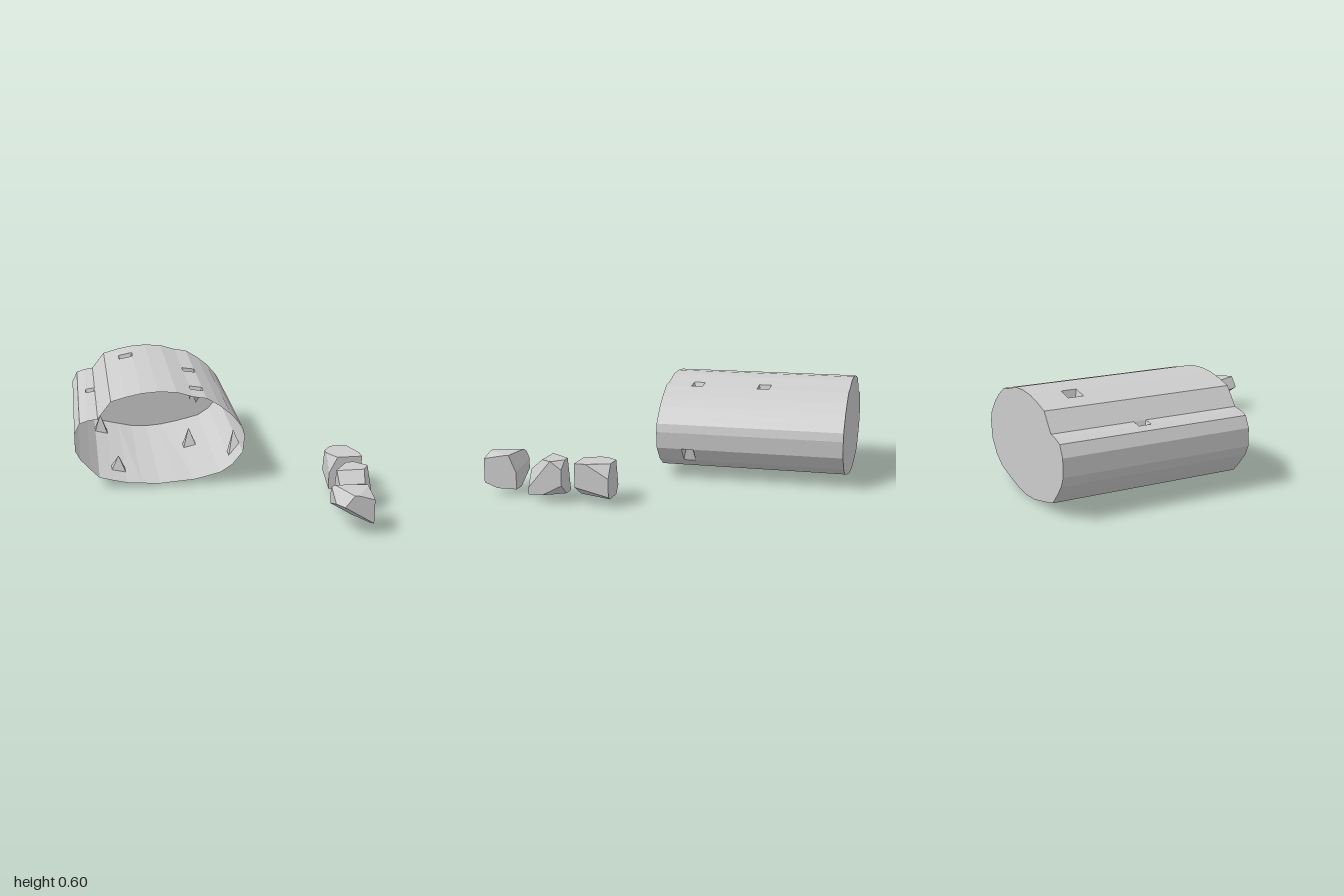
import * as THREE from 'three';
import { ConvexGeometry } from 'three/addons/geometries/ConvexGeometry.js';

const stone = new THREE.MeshStandardMaterial({ color: 0xcccccc, flatShading: true, side: THREE.DoubleSide });
stone.name = 'stone grey';

const FRONT = 0.13, BACK = -1;

// Cave cross-section, clockwise as seen from the front
const profile = [
  [-0.34, 0.6], [-0.23, 0.592], [-0.13, 0.56], [-0.05, 0.547], [0.03, 0.497], [0.097, 0.442],
  [0.147, 0.384], [0.175, 0.345], [0.185, 0.295], [0.174, 0.195], [0.11, 0.115], [0.034, 0.066],
  [-0.05, 0.045], [-0.13, 0.027], [-0.237, 0.008], [-0.34, 0], [-0.45, 0.008],
  [-0.54, 0.028], [-0.625, 0.048], [-0.707, 0.07], [-0.76, 0.125], [-0.82, 0.193], [-0.848, 0.25],
  [-0.848, 0.355], [-0.815, 0.42], [-0.765, 0.437], [-0.706, 0.446], [-0.625, 0.55],
  [-0.53, 0.576], [-0.44, 0.594],
];

// Hollow spikes: facet number, front and back of the base, tip x and y
const spikes = [
  { facet: 2, z0: -0.03, z1: -0.1, tip: [-0.093, 0.46] },
  { facet: 2, z0: -0.444, z1: -0.518, tip: [-0.083, 0.348] },
  { facet: 9, z0: -0.025, z1: -0.1, tip: [0.142, 0.275] },
  { facet: 12, z0: -0.44, z1: -0.515, tip: [-0.093, 0.153] },
  { facet: 17, z0: -0.05, z1: -0.125, tip: [-0.58, 0.126] },
  { facet: 18, z0: -0.735, z1: -0.81, tip: [-0.67, 0.172] },
  { facet: 25, z0: -0.444, z1: -0.518, tip: [-0.743, 0.348] },
  { facet: 28, z0: -0.73, z1: -0.82, tip: [-0.485, 0.425] },
];

// Rocks are cubes chipped by planes: normal x, y, z and distance, in half-cube units
const rocks = [
  {
    centre: [0.747, 0.137, 0.312],
    cuts: [[1, 0.6, -0.35, 1.48], [-1, 0.2, -0.75, 1.42], [-1, 0.5, 0.6, 1.6],
      [0.6, -1, 0.23, 1.21], [-1, -0.8, -0.3, 1.5]],
  },
  {
    centre: [0.738, 0.137, 0.592],
    cuts: [[-1, 0.2, -0.75, 1.05], [0.8, -1, -0.525, 1.7], [0, 1, 0.85, 1.23],
      [0.7, 1, -0.7, 1.95], [1, 0.5, 0.6, 1.3]],
  },
  {
    centre: [0.658, 0.137, 0.9],
    cuts: [[-0.62, -1, 0.375, 0.455], [-1, 0.8, 0.4, 1.35], [0.1, 0.45, -1, 1.1], [0.3, 1, 0.2, 1.22]],
  },
];

function meshFrom(triangles, name) {
  const geometry = new THREE.BufferGeometry();
  geometry.setAttribute('position', new THREE.Float32BufferAttribute(triangles.flat(2), 3));
  geometry.computeVertexNormals();
  const mesh = new THREE.Mesh(geometry, stone);
  mesh.name = name;
  return mesh;
}

// Corners of a chipped cube: every meeting of three planes that lies inside all the others
function chippedCube(cuts, halfSize) {
  const planes = [[1, 0, 0, 1], [-1, 0, 0, 1], [0, 1, 0, 1], [0, -1, 0, 1], [0, 0, 1, 1], [0, 0, -1, 1], ...cuts]
    .map(([x, y, z, d]) => ({ n: new THREE.Vector3(x, y, z), d }));
  const corners = [];
  planes.forEach((a, i) => planes.slice(0, i).forEach((b, j) => planes.slice(0, j).forEach((c) => {
    const bc = b.n.clone().cross(c.n);
    const det = a.n.dot(bc);
    if (Math.abs(det) < 1e-6) return;
    const corner = bc.multiplyScalar(a.d)
      .addScaledVector(c.n.clone().cross(a.n), b.d)
      .addScaledVector(a.n.clone().cross(b.n), c.d)
      .divideScalar(det);
    const inside = planes.every(({ n, d }) => n.dot(corner) < d + 1e-6);
    if (inside && corners.every((other) => other.distanceTo(corner) > 1e-4)) corners.push(corner);
  })));
  return new ConvexGeometry(corners.map((corner) => corner.multiplyScalar(halfSize)));
}

export function createModel() {
  const model = new THREE.Group();
  model.name = 'caveAndRocks';
  const wall = [], cap = [];
  const count = profile.length;

  // The underside rises slightly towards the mouth
  const point = ([x, y], z) => [x, y < 0.01 ? y + 0.012 * (z - BACK) / (FRONT - BACK) : y, z];

  // One lengthwise strip per facet, interrupted where a spike is pushed in
  for (let i = 0; i < count; i++) {
    const p = profile[i], q = profile[(i + 1) % count];
    const corners = (z0, z1) => [point(p, z0), point(q, z0), point(q, z1), point(p, z1)];
    let start = FRONT;
    const strip = (end) => {
      const [a, b, c, d] = corners(start, end);
      wall.push([a, b, c], [a, c, d]);
    };
    for (const spike of spikes.filter((s) => s.facet === i)) {
      strip(spike.z0);
      start = spike.z1;
      const tip = [...spike.tip, (spike.z0 + spike.z1) / 2];
      const base = corners(spike.z0, spike.z1);
      model.add(meshFrom(base.map((c, k) => [c, base[(k + 1) % 4], tip]), 'spike'));
    }
    strip(BACK);
    cap.push([point(q, BACK), point(p, BACK), [-0.33, 0.3, BACK]]);
  }
  model.add(meshFrom(wall, 'caveWall'), meshFrom(cap, 'backWall'));

  // Loose rocks beside the mouth
  for (const { centre, cuts } of rocks) {
    const rock = new THREE.Mesh(chippedCube(cuts, 0.099), stone);
    rock.name = 'rock';
    rock.position.set(...centre);
    model.add(rock);
  }
  return model;
}
